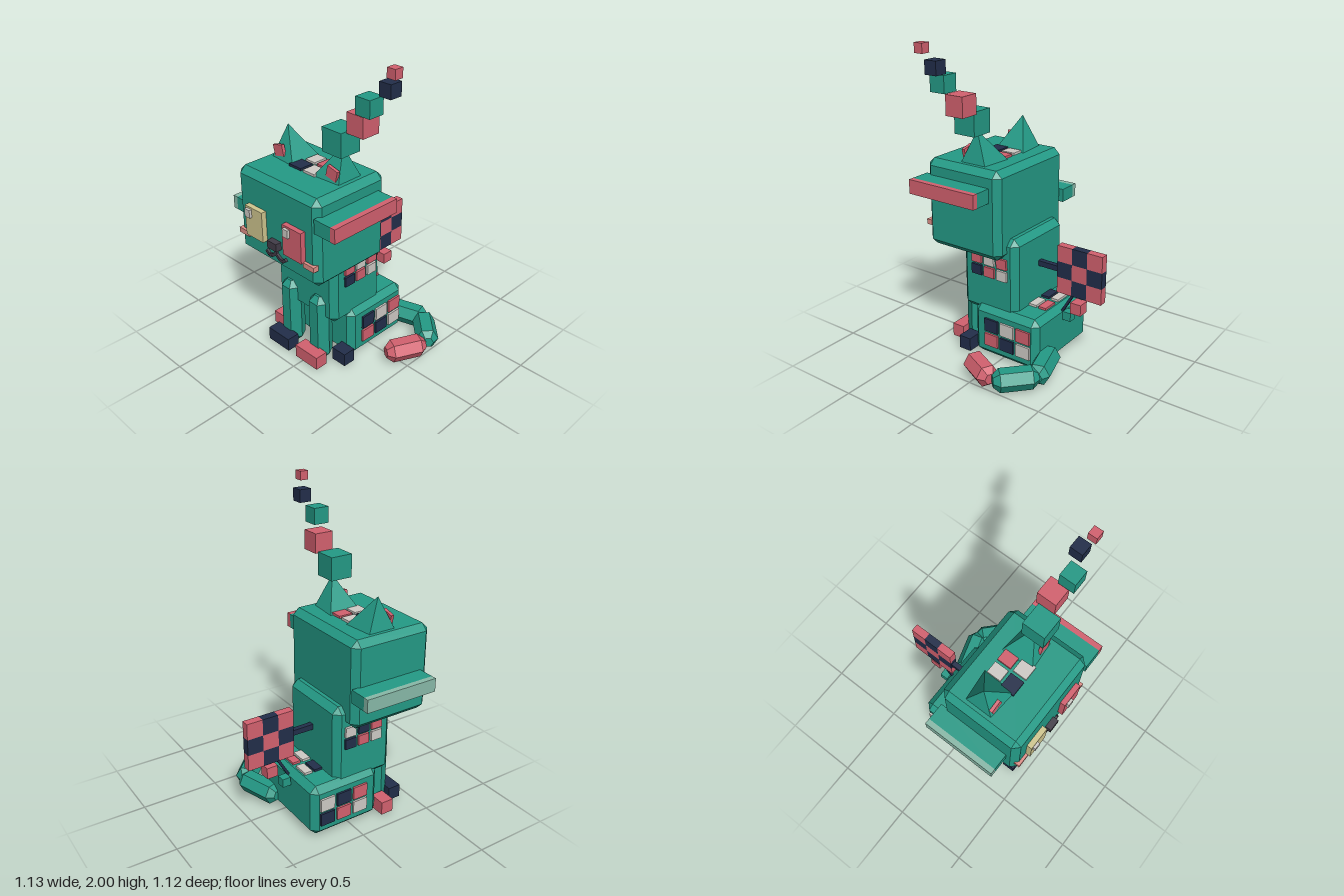
import * as THREE from 'three';
import { ConvexGeometry } from 'three/addons/geometries/ConvexGeometry.js';

const V = (x, y, z) => new THREE.Vector3(x, y, z);
const MID = -0.09; // the cat's own centre line in x

export function createModel() {
  const model = new THREE.Group();
  model.name = 'blockCat';

  const colour = (name, hex) => {
    const m = new THREE.MeshStandardMaterial({ color: hex });
    m.name = name;
    return m;
  };
  const green = colour('teal', 0x249a86);
  const pink = colour('rose', 0xd3616f);
  const navy = colour('navy', 0x222e4a);
  const light = colour('lightGrey', 0xcfcbc6);
  const cream = colour('cream', 0xd0c78f);
  const dark = colour('charcoal', 0x423c48);
  const blush = colour('blush', 0xe09088);
  const pale = colour('paleTeal', 0x88b9a8);

  const add = (name, geometry, material) => {
    const mesh = new THREE.Mesh(geometry, material);
    mesh.name = name;
    model.add(mesh);
    return mesh;
  };

  // plain box given by its two extreme corners
  const box = (name, material, x0, x1, y0, y1, z0, z1) => {
    const mesh = add(name, new THREE.BoxGeometry(x1 - x0, y1 - y0, z1 - z0), material);
    mesh.position.set((x0 + x1) / 2, (y0 + y1) / 2, (z0 + z1) / 2);
    return mesh;
  };
  const cube = (name, material, x, y, z, s) =>
    box(name, material, x - s / 2, x + s / 2, y - s / 2, y + s / 2, z - s / 2, z + s / 2);

  // box with every edge and corner cut flat
  const chamferBox = (name, material, x0, x1, y0, y1, z0, z1, c = 0.04) => {
    const h = [(x1 - x0) / 2, (y1 - y0) / 2, (z1 - z0) / 2];
    const points = [];
    for (const sx of [-1, 1]) for (const sy of [-1, 1]) for (const sz of [-1, 1]) {
      for (let full = 0; full < 3; full++) {
        const p = h.map((v, i) => (i === full ? v : v - c));
        points.push(V(p[0] * sx, p[1] * sy, p[2] * sz));
      }
    }
    const mesh = add(name, new ConvexGeometry(points), material);
    mesh.position.set((x0 + x1) / 2, (y0 + y1) / 2, (z0 + z1) / 2);
  };

  // six-sided rod with tapered ends, running from a to b
  const hexRod = (name, material, a, b, up, r = 0.072, taper = 0.04) => {
    const dir = b.clone().sub(a);
    const len = dir.length();
    dir.normalize();
    const profile = [[0, 0], [r / 2, 0], [r, taper], [r, len - taper], [r / 2, len], [0, len]]
      .map(([x, y]) => new THREE.Vector2(x, y));
    const g = new THREE.LatheGeometry(profile, 6, Math.PI / 2).toNonIndexed();
    g.computeVertexNormals();
    const mesh = add(name, g, material);
    const side = dir.clone().cross(up);
    mesh.quaternion.setFromRotationMatrix(new THREE.Matrix4().makeBasis(side, dir, up));
    mesh.position.copy(a);
  };

  // straight thin bar between two points
  const bar = (name, material, a, b, w) => {
    const mesh = add(name, new THREE.BoxGeometry(w, w, a.distanceTo(b)), material);
    mesh.position.copy(a).lerp(b, 0.5);
    mesh.lookAt(b);
  };

  // body blocks
  chamferBox('haunches', green, -0.378, 0.205, 0.01, 0.35, -0.28, 0.2);
  chamferBox('torso', green, -0.347, 0.17, 0.29, 0.815, -0.103, 0.31);
  chamferBox('head', green, -0.43, 0.253, 0.69, 1.25, -0.038, 0.51);

  // legs and paws
  for (const x of [-0.217, 0.035]) hexRod('frontLeg', green, V(x, 0, 0.293), V(x, 0.46, 0.293), V(0, 0, 1));
  box('frontPawRight', navy, -0.31, -0.125, 0.01, 0.097, 0.345, 0.43);
  box('frontPawLeft', pink, -0.055, 0.135, 0.01, 0.097, 0.345, 0.43);
  box('hindPawRight', pink, -0.415, -0.305, 0.015, 0.102, 0.205, 0.29);
  box('hindPawLeft', navy, 0.13, 0.238, 0.015, 0.102, 0.205, 0.29);

  // tail
  const up = V(0, 1, 0);
  hexRod('tailBase', green, V(0.04, 0.083, -0.28), V(0.335, 0.083, -0.37), up);
  hexRod('tailMiddle', green, V(0.31, 0.083, -0.37), V(0.51, 0.083, -0.182), up);
  hexRod('tailTip', pink, V(0.5, 0.083, -0.16), V(0.385, 0.083, 0.075), up);

  // ears, mirrored about the centre line
  for (const s of [1, -1]) {
    const at = (x, y, z) => V(MID + s * (x - MID), y, z);
    add('ear', new ConvexGeometry([
      at(-0.37, 1.24, 0.1), at(-0.163, 1.24, 0.08), at(-0.17, 1.24, 0.3),
      at(-0.37, 1.24, 0.285), at(-0.318, 1.445, 0.195)]), green);
    const inner = add('innerEar', new THREE.BoxGeometry(0.08, 0.07, 0.02), pink);
    inner.position.copy(at(-0.313, 1.302, 0.272));
    inner.rotation.z = s * 0.24;
  }

  // eyes and cheeks
  box('eyeRight', cream, -0.325, -0.175, 0.84, 1.037, 0.5, 0.543);
  box('eyeLeft', pink, 0, 0.155, 0.84, 1.037, 0.5, 0.543);
  for (const x of [-0.31, 0.02]) box('eyeGlint', light, x, x + 0.044, 0.973, 1.025, 0.53, 0.56);
  for (const x of [-0.412, 0.15]) box('cheek', blush, x, x + 0.088, 0.813, 0.846, 0.49, 0.528);

  // nose and mouth
  box('nose', dark, -0.13, -0.052, 0.832, 0.882, 0.5, 0.55);
  bar('lipLine', dark, V(MID, 0.84, 0.515), V(MID, 0.79, 0.515), 0.018);
  for (const s of [1, -1]) {
    const path = [[0, 0.793], [0.035, 0.768], [0.06, 0.765], [0.084, 0.785]]
      .map(([x, y]) => V(MID + s * x, y, 0.515));
    for (let i = 0; i < 3; i++) bar('mouth', dark, path[i], path[i + 1], 0.02);
  }

  // side fins with coloured ends
  box('finLeft', green, 0.235, 0.36, 1.06, 1.15, 0.028, 0.515);
  box('finLeftEnd', pink, 0.36, 0.395, 1.06, 1.15, 0.028, 0.515);
  box('finRight', green, -0.535, -0.42, 0.885, 0.97, -0.05, 0.44);
  box('finRightEnd', pale, -0.57, -0.535, 0.885, 0.97, -0.05, 0.44);

  // rising trail of cubes
  for (const [m, x, y, z, s] of [
    [green, 0.15, 1.5, 0.222, 0.147], [pink, 0.283, 1.625, 0.192, 0.123], [green, 0.374, 1.76, 0.24, 0.102],
    [navy, 0.478, 1.865, 0.2, 0.08], [pink, 0.537, 1.972, 0.237, 0.056],
  ]) cube('trailCube', m, x, y, z, s);

  // mosaic tiles on the top of the head and the back
  const topTiles = (name, y, rows) => {
    for (const [m, x0, x1, z0, z1] of rows) box(name, m, x0, x1, y - 0.01, y + 0.015, z0, z1);
  };
  topTiles('headTile', 1.25, [
    [light, -0.172, -0.095, 0.102, 0.195], [pink, -0.077, 0, 0.102, 0.195],
    [navy, -0.195, -0.095, 0.213, 0.305], [light, -0.077, 0.018, 0.213, 0.305]]);
  topTiles('backTile', 0.35, [
    [light, -0.207, -0.105, -0.23, -0.176], [pink, -0.07, 0.034, -0.23, -0.176],
    [navy, -0.207, -0.105, -0.161, -0.106], [light, -0.07, 0.034, -0.161, -0.106]]);

  // mosaic tiles on the flanks: columns run from front to back
  const sideTiles = (name, x, z0, dz, w, rows) => {
    for (const { y0, y1, mats } of rows) mats.forEach((m, i) =>
      box(name, m, x - 0.015, x + 0.015, y0, y1, z0 - i * dz - w, z0 - i * dz));
  };
  const torsoRows = (a, b) => [{ y0: 0.622, y1: 0.687, mats: a }, { y0: 0.543, y1: 0.608, mats: b }];
  const hipRows = (a, b) => [{ y0: 0.19, y1: 0.275, mats: a }, { y0: 0.09, y1: 0.173, mats: b }];
  sideTiles('torsoTileLeft', 0.17, 0.222, 0.094, 0.075, torsoRows([pink, light, pink], [navy, pink, light]));
  sideTiles('torsoTileRight', -0.347, 0.222, 0.094, 0.075, torsoRows([pink, navy, light], [light, pink, navy]));
  sideTiles('hipTileLeft', 0.203, 0.104, 0.119, 0.1, hipRows([navy, light, pink], [pink, navy, light]));
  sideTiles('hipTileRight', -0.376, 0.104, 0.119, 0.1, hipRows([pink, navy, light], [light, pink, navy]));

  // checkered wind-up key on the back
  box('keyShaft', navy, -0.104, -0.07, 0.58, 0.615, -0.26, -0.09);
  for (let i = -1; i <= 1; i++) for (let j = -1; j <= 1; j++) {
    const y = 0.602 + i * 0.104, z = -0.403 + j * 0.104;
    box('keyBlock', (i + j) % 2 ? navy : pink, -0.112, -0.061, y - 0.052, y + 0.052, z - 0.052, z + 0.052);
  }
  // cord with two charms
  bar('keyCord', navy, V(-0.087, 0.46, -0.36), V(-0.087, 0.3, -0.268), 0.016);
  cube('charmLower', green, -0.103, 0.288, -0.313, 0.056);
  cube('charmUpper', pink, -0.073, 0.38, -0.398, 0.073);

  return model;
}
